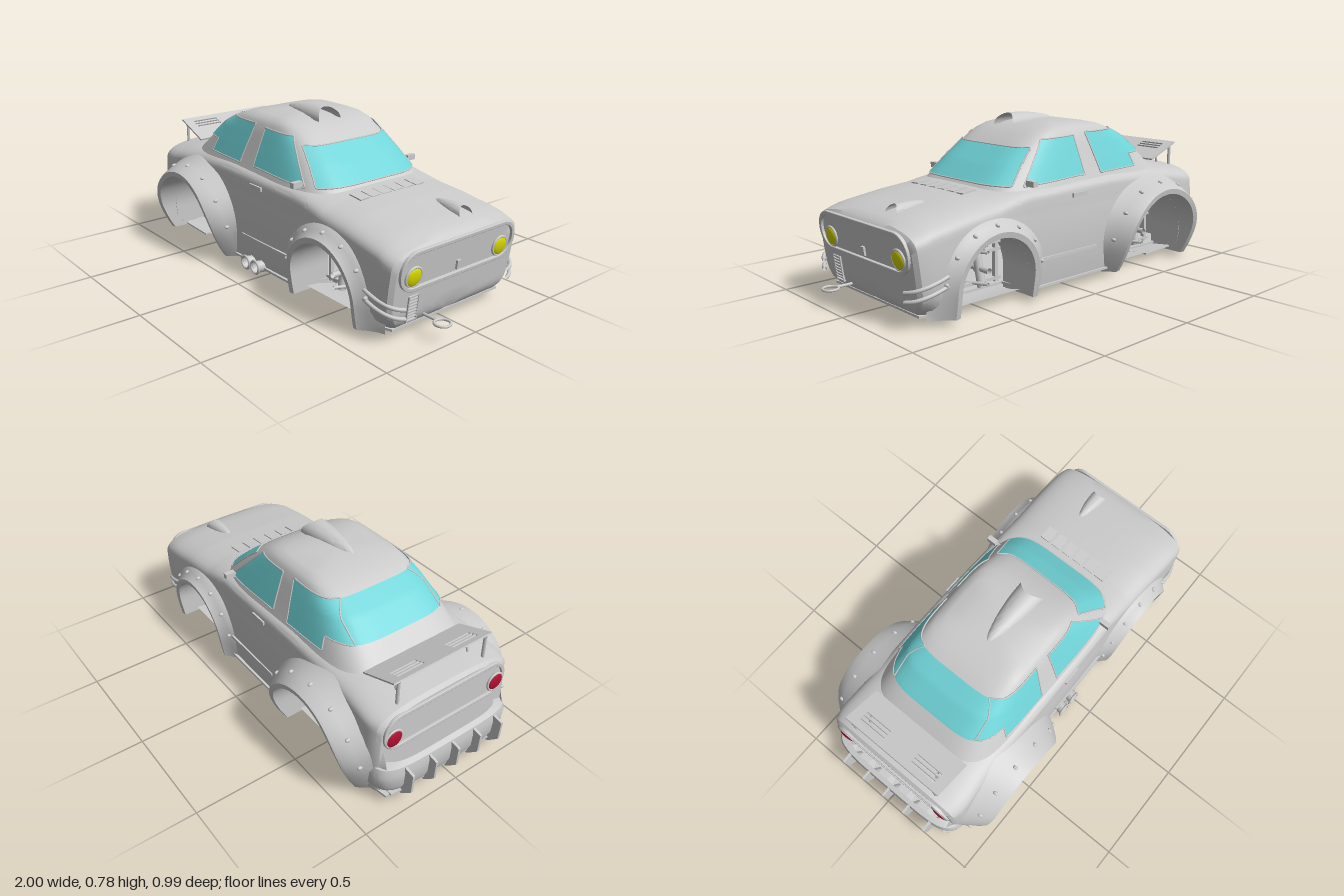
import * as THREE from 'three';
import { toCreasedNormals } from 'three/addons/utils/BufferGeometryUtils.js';

const mat = (color) => new THREE.MeshStandardMaterial({ color, side: THREE.DoubleSide });
const grey = mat(0xcccccc), glass = mat(0x70d4d8), yellow = mat(0xd8d800), red = mat(0xb01030);
const V = (x, y, z) => new THREE.Vector3(x, y, z);

export function createModel() {
  const car = new THREE.Group();
  const add = (name, geo, m = grey, parent = car) => {
    const mesh = new THREE.Mesh(geo, m);
    mesh.name = name;
    parent.add(mesh);
    return mesh;
  };
  // Surface through an nu x nv grid of points f(i, j)
  const grid = (nu, nv, f, crease = 0.6) => {
    const pos = [], idx = [];
    for (let i = 0; i <= nu; i++) for (let j = 0; j <= nv; j++) pos.push(...f(i, j));
    for (let i = 0; i < nu; i++) for (let j = 0; j < nv; j++) {
      const a = i * (nv + 1) + j, b = a + nv + 1;
      idx.push(a, b, a + 1, b, b + 1, a + 1);
    }
    const g = new THREE.BufferGeometry();
    g.setAttribute('position', new THREE.Float32BufferAttribute(pos, 3));
    g.setIndex(idx);
    return toCreasedNormals(g, crease);
  };
  // Linear lookup in rows of [key, ...values]
  const lookup = (rows, k, c = 1) => {
    let i = 0;
    while (i < rows.length - 2 && k > rows[i + 1][0]) i++;
    const t = THREE.MathUtils.clamp((k - rows[i][0]) / (rows[i + 1][0] - rows[i][0]), 0, 1);
    return rows[i][c] + (rows[i + 1][c] - rows[i][c]) * t;
  };
  const box = (name, w, h, d, x, y, z, parent = car) => {
    const m = add(name, new THREE.BoxGeometry(w, h, d), grey, parent);
    m.position.set(x, y, z);
    return m;
  };
  const rod = (name, a, b, r = 0.008, parent = car) =>
    add(name, new THREE.TubeGeometry(new THREE.LineCurve3(a, b), 1, r, 8), grey, parent);
  const slab = (pts, depth) => new THREE.ExtrudeGeometry(
    new THREE.Shape(pts.map((p) => new THREE.Vector2(...p))), { depth, bevelEnabled: false }).translate(0, 0, -depth / 2);

  // Lower body: cross-sections along x, the lower edge follows the wheel arches
  const arches = [{ x: -0.53, y: 0.14, ri: 0.243, rm: 0.268, ro: 0.335, rx: 0.395, zo: 0.495, name: 'rear' },
    { x: 0.49, y: 0.13, ri: 0.2, rm: 0.225, ro: 0.285, rx: 0.325, zo: 0.43, name: 'front' }];
  const topY = [[-0.89, 0.47], [-0.7, 0.5], [-0.5, 0.52], [0.3, 0.5], [0.6, 0.47], [0.8, 0.44], [0.9, 0.41]];
  const halfW = [[-0.89, 0.365], [-0.82, 0.385], [-0.6, 0.377], [0, 0.375], [0.3, 0.37], [0.75, 0.382], [0.87, 0.38], [0.9, 0.365]];
  const squareness = [[-0.5, 3], [-0.25, 4.5], [0.25, 4.5], [0.45, 3]];
  const stations = [];
  for (let x = -0.875; x <= 0.886; x += 0.04) stations.push([x, 1]);
  for (const a of arches) {
    for (let k = 0; k <= 24; k++) stations.push([a.x + a.ri * 0.9999 * Math.cos(k / 24 * Math.PI), 1]);
    for (const s of [-1, 1]) stations.push([a.x + s * a.ri * 1.0001, 1]);
  }
  stations.sort((p, q) => p[0] - q[0]);
  stations.push([0.885, 1]);
  for (const k of [0.965, 0.85, 0.7, 0.5, 0.3, 0.15, 0]) {
    stations.unshift([-0.89, k]);
    stations.push([0.9, k]);
  }
  const section = ([x, scale], j) => {
    let yb = 0.045;
    for (const a of arches) {
      const d = Math.abs(x - a.x);
      if (d < a.ri) yb = a.y + Math.sqrt(a.ri * a.ri - d * d);
    }
    const yt = lookup(topY, x), w = lookup(halfW, x), ys = Math.max(yt - 0.1, yb + 0.005);
    const s = j < 24 ? 1 : -1, k = j < 24 ? j : 48 - j, e = 2 / lookup(squareness, x);
    const noseness = THREE.MathUtils.smoothstep(x, 0.7, 0.88);
    const side = (y) => w * (1 - 0.05 * ((y - 0.25) / 0.22) ** 2 - 0.12 * noseness * Math.max(0, (0.16 - y) / 0.115) ** 2);
    let y, z;
    if (k <= 8) { y = yb + (ys - yb) * k / 8; z = side(y); }
    else {
      const a = (k - 8) / 16 * Math.PI / 2;
      y = ys + (yt - ys) * Math.sin(a) ** e;
      z = k === 24 ? 0 : side(ys) * Math.cos(a) ** e;
    }
    y = yb + (y - yb) * scale;
    const lean = 0.045 * THREE.MathUtils.clamp((0.4 - y) / 0.35, 0, 1) + 0.025 * Math.max(0, (0.1 - y) / 0.055) ** 2;
    return [x - noseness * lean, y, s * z * scale];
  };
  add('body', grid(stations.length - 1, 48, (i, j) => section(stations[i], j)));

  // Cabin: superellipse rings stacked in y, rows are [y, back x, front x, half width]
  const N = 5;
  const rings = [[0.44, -0.74, 0.44, 0.357], [0.5, -0.68, 0.385, 0.33], [0.58, -0.59, 0.295, 0.3],
    [0.65, -0.5, 0.205, 0.273], [0.7, -0.405, 0.13, 0.253], [0.722, -0.345, 0.075, 0.235],
    [0.736, -0.28, 0.02, 0.2], [0.745, -0.21, -0.05, 0.11], [0.748, -0.13, -0.13, 0]];
  const ringAt = (y, grow = 0) => {
    const b = lookup(rings, y, 1), f = lookup(rings, y, 2);
    return { c: (b + f) / 2, a: (f - b) / 2 + grow, w: lookup(rings, y, 3) + grow };
  };
  const pw = (v) => Math.sign(v) * Math.abs(v) ** (2 / N);
  add('cabin', grid(rings.length - 1, 96, (i, j) => {
    const y = rings[i][0], r = ringAt(y), t = j / 96 * Math.PI * 2;
    return [r.c + r.a * pw(Math.cos(t)), y, r.w * pw(Math.sin(t))];
  }, 0.9));

  // Windows lie just outside the cabin surface, with thin seals round their outlines
  const other = (v) => Math.max(0, 1 - Math.abs(v) ** N) ** (1 / N);
  const sidePoint = (s) => (x, y) => {
    const g = ringAt(y, 0.006);
    return [x, y, s * g.w * other((x - g.c) / g.a)];
  };
  const endPoint = (s) => (Z, y) => {
    const g = ringAt(y, 0.006);
    return [g.c + s * g.a * other(Z), y, g.w * Z];
  };
  const pane = (name, point, [p, q, r, t]) => add(name, grid(16, 16, (i, j) => {
    const u = i / 16, v = j / 16;
    const mix = (k) => (p[k] * (1 - u) + q[k] * u) * (1 - v) + (t[k] * (1 - u) + r[k] * u) * v;
    return point(mix(0), mix(1));
  }), glass);
  const seal = (name, point, corners) => {
    const loop = corners.flatMap((p, i) => {
      const q = corners[(i + 1) % corners.length];
      return Array.from({ length: 10 }, (_, k) => V(...point(p[0] + (q[0] - p[0]) * k / 10, p[1] + (q[1] - p[1]) * k / 10)));
    });
    add(name, new THREE.TubeGeometry(new THREE.CatmullRomCurve3(loop, true), 140, 0.0035, 6, true));
  };
  const screen = [[-0.87, 0.505], [0.87, 0.505], [0.87, 0.652], [-0.87, 0.652]];
  pane('windshield', endPoint(1), screen);
  seal('windshieldSeal', endPoint(1), screen);
  pane('rearWindow', endPoint(-1), [[-0.93, 0.575], [0.93, 0.575], [0.93, 0.697], [-0.93, 0.697]]);
  for (const s of [-1, 1]) {
    const door = [[-0.1, 0.515], [0.27, 0.5], [0.1, 0.685], [-0.09, 0.69]];
    pane('doorWindow', sidePoint(s), door);
    seal('doorWindowSeal', sidePoint(s), door);
    pane('quarterWindow', sidePoint(s), [[-0.46, 0.515], [-0.21, 0.51], [-0.17, 0.697], [-0.4, 0.697]]);
    pane('quarterWindowTail', sidePoint(s), [[-0.575, 0.575], [-0.4, 0.575], [-0.37, 0.697], [-0.405, 0.697]]);
    seal('quarterWindowSeal', sidePoint(s),
      [[-0.46, 0.515], [-0.21, 0.51], [-0.17, 0.697], [-0.405, 0.697], [-0.575, 0.575], [-0.445, 0.575]]);
  }

  // Everything mirrored left and right
  for (const s of [-1, 1]) {
    for (const a of arches) {
      // Wide flare sweeping out to a rim, continuing inward as the wheel well;
      // rows are [height radius, length radius, z]
      const mid = (t) => [a.rm + (a.ro - a.rm) * t, a.rm + (a.rx - a.rm) * t];
      const slope = 0.335 + (a.zo - 0.335) * 0.62;
      const rows = [[a.ro, a.rx, 0.335], [...mid(0.7), 0.375], [...mid(0.4), slope],
        [...mid(0.1), a.zo - 0.012], [a.rm, a.rm, a.zo], [a.ri, a.ri, a.zo - 0.004], [a.ri, a.ri, 0.2]];
      const tuck = (y) => (a.zo - 0.4) * Math.max(0, (0.34 - y) / 0.31) ** 2;
      add(a.name + 'Flare', grid(42, rows.length - 1, (i, j) => {
        const [ry, rx, z] = rows[j], t = THREE.MathUtils.clamp((i - 5) / 32, 0, 1) * Math.PI;
        const below = Math.max(0, 5 - i, i - 37) / 5;
        const y = below ? a.y - (a.y - 0.025) * below : a.y + ry * Math.sin(t);
        return [a.x + rx * Math.cos(t), y, s * (z - (j > 0 && j < 6 ? tuck(y) : 0))];
      }, 0.7));
      for (let k = 0; k < 7; k++) {
        const t = (0.06 + 0.88 * k / 6) * Math.PI, [ry, rx] = mid(0.4), y = a.y + ry * Math.sin(t);
        const m = add('rivet', new THREE.SphereGeometry(0.009, 10, 8));
        m.position.set(a.x + rx * Math.cos(t), y, s * (slope - tuck(y)));
        m.scale.z = 1.5;
      }
      // Suspension frame, strut and arms
      const sus = new THREE.Group();
      sus.name = a.name + 'Suspension';
      car.add(sus);
      for (const y of [0.105, 0.235, 0.27]) box('crossBar', 0.25, 0.014, 0.02, a.x, y, s * 0.26, sus);
      for (const d of [-0.1, 0.1]) {
        box('upright', 0.016, 0.18, 0.02, a.x + d, 0.18, s * 0.26, sus);
        for (const y of [0.11, 0.25]) rod('arm', V(a.x + d, y, s * 0.12), V(a.x, y, s * 0.33), 0.008, sus);
      }
      rod('strut', V(a.x, 0.09, s * 0.29), V(a.x, 0.31, s * 0.24), 0.02, sus);
      rod('axle', V(a.x, 0.17, s * 0.14), V(a.x, 0.17, s * 0.34), 0.014, sus);
    }
    box('mirrorArm', 0.015, 0.012, 0.05, 0.25, 0.51, s * 0.325);
    box('mirror', 0.025, 0.026, 0.05, 0.25, 0.515, s * 0.345);
    box('doorHandle', 0.09, 0.02, 0.02, -0.03, 0.435, s * 0.363);
    box('sillTrim', 0.36, 0.014, 0.012, 0.04, 0.175, s * 0.374);
    // Curved blades on the nose corners
    for (const y of [0.135, 0.175]) {
      const curve = new THREE.QuadraticBezierCurve3(V(0.74, y + 0.035, s * 0.385), V(0.88, y, s * 0.4), V(0.9, y - 0.015, s * 0.31));
      add('noseBlade', new THREE.TubeGeometry(curve, 12, 0.009, 8));
    }
    rod('spoilerStrut', V(-0.85, 0.46, s * 0.24), V(-0.85, 0.575, s * 0.24));
    rod('spoilerBrace', V(-0.8, 0.47, s * 0.2), V(-0.78, 0.55, s * 0.2), 0.006);
  }

  // Rimmed panels with lamps at nose and tail
  const rounded = (P, w, h, r) => {
    const p = new P();
    p.absarc(w - r, h - r, r, 0, Math.PI / 2).absarc(r - w, h - r, r, Math.PI / 2, Math.PI);
    p.absarc(r - w, r - h, r, Math.PI, Math.PI * 1.5).absarc(w - r, r - h, r, Math.PI * 1.5, Math.PI * 2);
    return p;
  };
  const lampPanel = (name, x, y, dir, tilt, lampX, lampY, lampZ, m) => {
    const g = new THREE.Group();
    g.name = name;
    g.position.set(x, y, 0);
    g.rotation.set(tilt, dir * Math.PI / 2, 0, 'YXZ');
    car.add(g);
    const rim = rounded(THREE.Shape, 0.338, 0.088, 0.085);
    rim.holes.push(rounded(THREE.Path, 0.326, 0.076, 0.073));
    add('rim', new THREE.ExtrudeGeometry(rim, { depth: 0.01, bevelSize: 0.003, bevelThickness: 0.003, bevelSegments: 2 }), grey, g);
    for (const s of [-1, 1]) {
      const ring = add('lampRing', new THREE.TorusGeometry(0.043, 0.006, 8, 32), grey, g);
      const lamp = add('lamp', new THREE.SphereGeometry(0.042, 24, 16), m, g);
      for (const o of [ring, lamp]) o.position.set(s * lampX, lampY, lampZ);
      lamp.scale.z = 0.3;
    }
    return g;
  };
  const nose = lampPanel('nosePanel', 0.888, 0.308, 1, 0.13, 0.258, -0.028, 0.003, yellow);
  box('noseBadgePlate', 0.02, 0.04, 0.012, 0, -0.043, 0.004, nose);
  lampPanel('tailPanel', -0.888, 0.355, -1, 0, 0.288, -0.022, 0.01, red);

  // Nose grille and tow loop
  const grille = new THREE.Group();
  grille.name = 'grille';
  grille.position.set(0.866, 0.135, 0.24);
  grille.rotation.z = -0.13;
  car.add(grille);
  for (let k = 0; k < 9; k++) box('grilleSlat', 0.012, 0.006, 0.055, 0, -0.056 + k * 0.014, 0, grille);
  for (const z of [-0.027, 0.027]) box('grilleEdge', 0.014, 0.12, 0.005, 0, 0, z, grille);
  add('towLoop', new THREE.TorusGeometry(0.034, 0.006, 8, 28).rotateX(Math.PI / 2)).position.set(0.96, 0.078, 0.16);
  rod('towBar', V(0.83, 0.078, 0.16), V(0.928, 0.078, 0.16), 0.007);

  // Scoops: pointed at the back, open to the front
  const scoop = (name, x0, x1, y0, slope, z, r, h) => add(name, grid(16, 16, (i, j) => {
    const t = i / 16, a = j / 16 * Math.PI, k = Math.sin(t * Math.PI / 2) ** 0.6;
    const x = x0 + (x1 - x0) * t - 0.12 * (x1 - x0) * t * t * Math.sin(a) ** 2;
    return [x, y0 + slope * (x - x0) + h * k * Math.sin(a), z + r * k * Math.cos(a)];
  }));
  scoop('roofScoop', -0.23, 0.09, 0.738, -0.04, 0.025, 0.066, 0.055);
  scoop('hoodScoop', 0.64, 0.82, 0.455, -0.13, -0.11, 0.04, 0.036);
  for (let k = 0; k < 6; k++) {
    const louvre = box('hoodLouvre', 0.075, 0.006, 0.05, 0.465, 0.4835, -0.16 + k * 0.066);
    louvre.rotation.set(0.06, 0, -0.1);
  }

  // Spoiler with slotted plate
  const plate = new THREE.Shape([[-0.27, -0.1], [0.27, -0.1], [0.27, 0.1], [-0.27, 0.1]].map((p) => new THREE.Vector2(...p)));
  for (const s of [-1, 1]) for (let k = 0; k < 3; k++) {
    const y = 0.01 + k * 0.022;
    plate.holes.push(new THREE.Path([[0.08, y], [0.08, y + 0.012], [0.22, y + 0.012], [0.22, y]].map((p) => new THREE.Vector2(p[0] * s, p[1]))));
  }
  const wing = add('spoiler', new THREE.ExtrudeGeometry(plate, { depth: 0.008, bevelEnabled: false })
    .rotateX(-Math.PI / 2).rotateY(Math.PI / 2));
  wing.position.set(-0.765, 0.545, 0);
  wing.rotation.z = -0.37;

  // Wrapped rear bumper, diffuser fins and the stepped slats between them
  const bumper = [[0.05, 0.9], [0.09, 0.98], [0.16, 1], [0.195, 0.97], [0.205, 0.85]];
  add('rearBumper', grid(bumper.length - 1, 48, (i, j) => {
    const [y, k] = bumper[i], t = (j / 48 - 0.5) * Math.PI;
    return [-0.77 - 0.19 * k * pw(Math.cos(t)), y, 0.382 * k * pw(Math.sin(t))];
  }));
  for (let k = -2; k <= 2; k++) {
    add('diffuserFin', slab([[-0.62, 0.03], [-0.94, 0.025], [-0.995, 0.08], [-1, 0.18], [-0.95, 0.19], [-0.9, 0.05]], 0.012)
      .translate(0, 0, k * 0.128));
    box('diffuserSlat', 0.36, 0.008, 0.13, -0.76, 0.038, k * 0.128).rotation.set(0.12, 0, -0.04);
  }

  // Floor, narrowed between the wheels, over a long shallow tray
  const half = [[0.84, 0.32], [0.72, 0.36], [0.68, 0.2], [0.3, 0.2], [0.27, 0.37], [-0.27, 0.37], [-0.3, 0.22], [-0.77, 0.22], [-0.8, 0.36], [-0.93, 0.34]];
  const outline = [...half, ...half.map(([x, z]) => [x, -z]).reverse()];
  add('floor', slab(outline, 0.01).rotateX(Math.PI / 2).translate(0, 0.047, 0));
  const trayY = [[-0.93, 0.032], [-0.5, 0.022], [-0.15, 0], [0.25, 0.008], [0.32, 0.028], [0.83, 0.042]];
  add('tray', grid(trayY.length - 1, 3, (i, j) => {
    const edge = j === 0 || j === 3;
    return [trayY[i][0], edge ? 0.044 : trayY[i][1], (j < 2 ? -1 : 1) * (edge ? 0.32 : 0.19)];
  }, 0.2));

  // Twin side exhaust
  for (const x of [-0.09, -0.012]) {
    rod('exhaustPipe', V(x + 0.03, 0.05, 0.28), V(x, 0.05, 0.395), 0.03);
    add('exhaustTip', new THREE.TorusGeometry(0.031, 0.006, 8, 24)).position.set(x, 0.05, 0.395);
  }
  return car;
}
